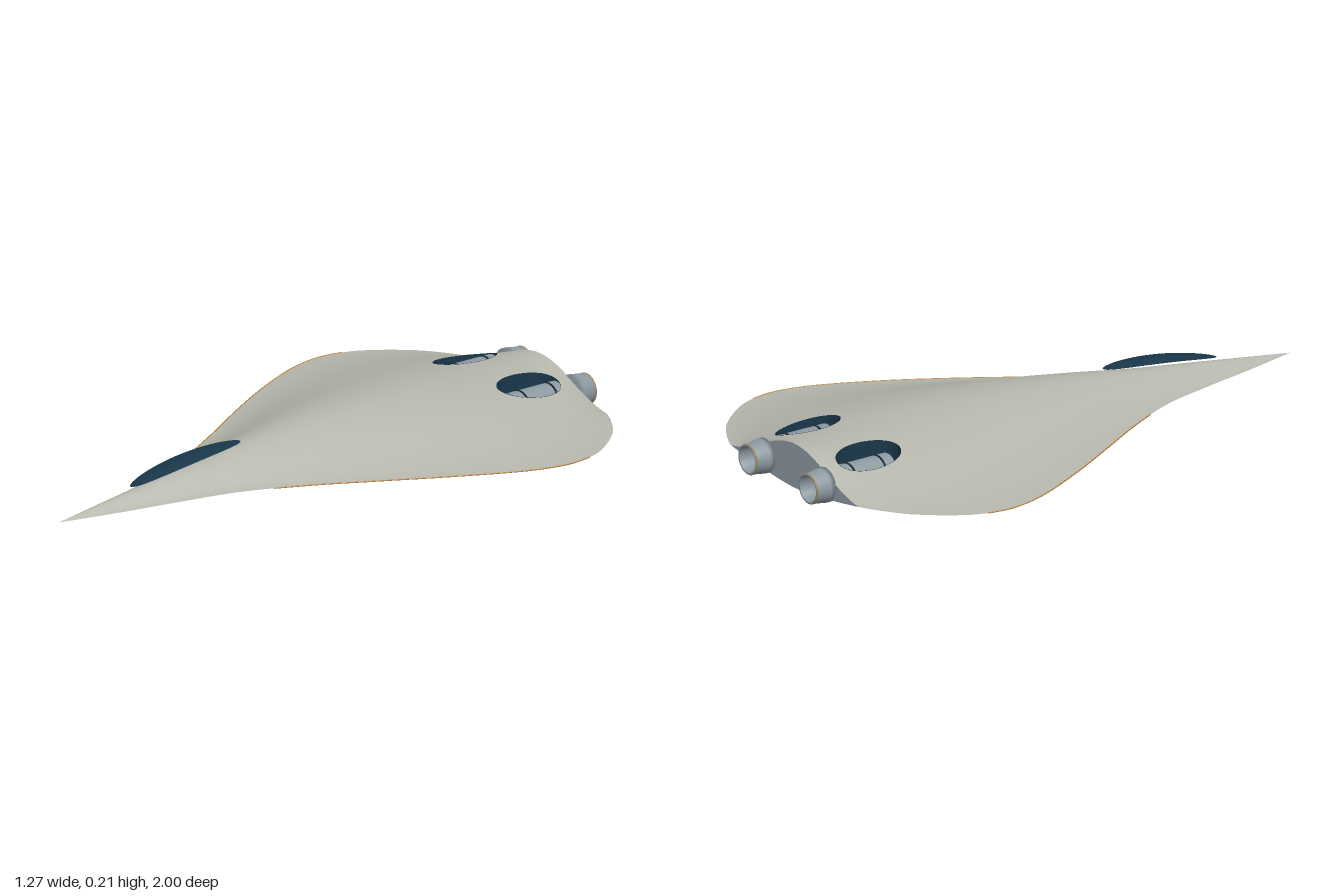
import * as THREE from 'three';

const mat = (name, color, side = THREE.FrontSide) => {
  const m = new THREE.MeshStandardMaterial({ color, side });
  m.name = name;
  return m;
};

// Hull stations: z, half width, edge height, crest height, keel height
const STATIONS = [
  [-0.935, 0.34, 0.092, 0.2, 0.052], [-0.91, 0.39, 0.092, 0.196, 0.048],
  [-0.84, 0.49, 0.092, 0.191, 0.042], [-0.7, 0.6, 0.092, 0.193, 0.033],
  [-0.6, 0.631, 0.092, 0.198, 0.029], [-0.52, 0.631, 0.092, 0.203, 0.026],
  [-0.4, 0.597, 0.092, 0.208, 0.023], [-0.2, 0.5, 0.092, 0.207, 0.023],
  [0, 0.385, 0.09, 0.195, 0.027], [0.2, 0.265, 0.086, 0.174, 0.035],
  [0.4, 0.163, 0.08, 0.146, 0.044], [0.6, 0.1, 0.073, 0.121, 0.053],
  [0.8, 0.051, 0.069, 0.094, 0.06], [1, 0, 0.067, 0.067, 0.067],
];
const Z0 = -0.935, Z1 = 1;

// Smooth interpolation of one station column
function sample(z, col) {
  const n = STATIONS.length;
  let i = 0;
  while (i < n - 2 && z > STATIONS[i + 1][0]) i++;
  const slope = (k) => {
    const a = STATIONS[Math.max(k - 1, 0)], b = STATIONS[Math.min(k + 1, n - 1)];
    return (b[col] - a[col]) / (b[0] - a[0]);
  };
  const a = STATIONS[i], b = STATIONS[i + 1], h = b[0] - a[0];
  const t = (z - a[0]) / h, t2 = t * t, t3 = t2 * t;
  return (2 * t3 - 3 * t2 + 1) * a[col] + (t3 - 2 * t2 + t) * h * slope(i)
    + (3 * t2 - 2 * t3) * b[col] + (t3 - t2) * h * slope(i + 1);
}

function hullY(x, z, upper) {
  const w = sample(z, 1), e = sample(z, 2);
  const t = w > 1e-4 ? Math.min(Math.abs(x) / w, 1) : 1;
  if (upper) {
    const f = 0.85 * (1 + Math.cos(Math.PI * t)) / 2 + 0.15 * (1 - t * t);
    return e + (sample(z, 3) - e) * f;
  }
  return e + (sample(z, 4) - e) * (1 - t ** 1.5);
}

// Oval engine wells in the upper skin
const WELL = { x: 0.16, z: -0.765, rx: 0.077, rz: 0.115, floor: 0.08 };
const wellR = (x, z) => Math.hypot((Math.abs(x) - WELL.x) / WELL.rx, (z - WELL.z) / WELL.rz);

// Upper or lower skin as a grid; cells inside the wells are left out
function skin(upper) {
  const nu = 100, nv = 130, pts = [], index = [];
  for (let j = 0; j <= nv; j++) for (let i = 0; i <= nu; i++) {
    const z = Z0 + (Z1 - Z0) * j / nv;
    pts.push([(2 * i / nu - 1) * Math.max(sample(z, 1), 0), z]);
  }
  const inside = pts.map(([x, z]) => upper && wellR(x, z) < 1);
  const tri = (a, b, c) => {
    if (inside[a] && inside[b] && inside[c]) return;
    index.push(...(upper ? [a, b, c] : [a, c, b]));
  };
  for (let j = 0; j < nv; j++) for (let i = 0; i < nu; i++) {
    const a = j * (nu + 1) + i, b = a + nu + 1;
    tri(a, b, a + 1);
    tri(a + 1, b, b + 1);
  }
  const pos = [];
  pts.forEach(([x, z], k) => {
    if (inside[k]) { // pull rim vertices onto the oval
      const s = Math.sign(x), r = Math.max(wellR(x, z), 1e-3);
      x = s * (WELL.x + (Math.abs(x) - WELL.x) / r);
      z = WELL.z + (z - WELL.z) / r;
    }
    pos.push(x, hullY(x, z, upper), z);
  });
  return surface(pos, index);
}

function surface(pos, index) {
  const g = new THREE.BufferGeometry();
  g.setAttribute('position', new THREE.Float32BufferAttribute(pos, 3));
  g.setIndex(index);
  g.computeVertexNormals();
  return g;
}

// Surface through rings of points, ring(k, angle) -> [x, y, z]
function rings(count, sides, ring) {
  const pos = [], index = [];
  for (let k = 0; k < count; k++) for (let i = 0; i <= sides; i++) pos.push(...ring(k, i / sides * Math.PI * 2));
  for (let k = 0; k < count - 1; k++) for (let i = 0; i < sides; i++) {
    const a = k * (sides + 1) + i, b = a + sides + 1;
    index.push(a, a + 1, b, a + 1, b + 1, b);
  }
  return surface(pos, index);
}

export function createModel() {
  const model = new THREE.Group();
  const upperMat = mat('pale grey hull', 0xb5b6ac, THREE.DoubleSide);
  const lowerMat = mat('slate belly', 0x929da2, THREE.DoubleSide);
  const blue = mat('deep blue glass', 0x19374a, THREE.DoubleSide);
  const panel = mat('tail panel grey', 0x94a1aa, THREE.DoubleSide);
  const steel = mat('engine steel', 0x8b989f, THREE.DoubleSide);
  const dark = mat('dark band', 0x15232c);
  const pale = mat('pale lens', 0xc8d2d6);
  const amber = mat('amber trim', 0xbc8030);
  const add = (name, geo, material, parent = model) => {
    const m = new THREE.Mesh(geo, material);
    m.name = name;
    parent.add(m);
    return m;
  };

  add('upperHull', skin(true), upperMat);
  add('lowerHull', skin(false), lowerMat);

  // Flat tail panel following the last hull section
  const outline = [], w = sample(Z0, 1);
  for (let i = 0; i <= 40; i++) outline.push(new THREE.Vector2(w * (i / 20 - 1), hullY(w * (i / 20 - 1), Z0, false)));
  for (let i = 39; i > 0; i--) outline.push(new THREE.Vector2(w * (i / 20 - 1), hullY(w * (i / 20 - 1), Z0, true)));
  add('tailPanel', new THREE.ShapeGeometry(new THREE.Shape(outline)), panel).position.z = Z0;

  // Canopy: a thin curved oval raised above the nose
  add('canopy', rings(9, 40, (k, a) => {
    const r = k / 8, x = 0.045 * r * Math.sin(a), c = r * Math.cos(a);
    const y = 0.163 - 0.028 * c - 0.014 * c * c + 0.008 * (1 - r * r);
    return [x, y, 0.49 + 0.22 * c];
  }), blue);

  for (const side of [-1, 1]) {
    // Fine trim line along the wing edge
    const edge = [];
    for (let i = 0; i <= 30; i++) {
      const z = -0.64 + 0.94 * i / 30;
      edge.push(new THREE.Vector3(side * sample(z, 1), sample(z, 2), z));
    }
    add('edgeTrim', new THREE.TubeGeometry(new THREE.CatmullRomCurve3(edge), 60, 0.002, 6), amber);

    const engine = new THREE.Group();
    engine.name = side > 0 ? 'leftEngine' : 'rightEngine';
    model.add(engine);

    // Well wall and floor
    add('engineWell', rings(5, 48, (k, a) => {
      const r = k < 3 ? 1 : [0.97, 0][k - 3];
      const x = side * WELL.x + WELL.rx * r * Math.sin(a), z = WELL.z + WELL.rz * r * Math.cos(a);
      const top = hullY(x, z, true) + 0.001;
      return [x, k < 3 ? top + (WELL.floor - top) * k / 2 : WELL.floor, z];
    }), blue, engine);

    // Engine body with two dark bands
    const tube = (name, r, z, len, m) => {
      const g = new THREE.CylinderGeometry(r, r, len, 32).rotateX(Math.PI / 2);
      add(name, g, m, engine).position.set(side * WELL.x, 0.112, z);
    };
    tube('engineBody', 0.05, -0.784, 0.188, steel);
    for (const z of [-0.845, -0.73]) tube('engineBand', 0.0515, z, 0.007, dark);

    // Hollow exhaust nozzle with a fine lip ring
    const profile = [[0, 0.932], [0.057, 0.932], [0.056, 0.95], [0.051, 0.98], [0.05, 1], [0.042, 1], [0.037, 0.95], [0, 0.945]];
    const nozzle = new THREE.LatheGeometry(profile.map((p) => new THREE.Vector2(...p)), 32).rotateX(-Math.PI / 2);
    add('exhaustNozzle', nozzle, steel, engine).position.set(side * WELL.x, 0.112, 0);
    add('nozzleLip', new THREE.TorusGeometry(0.049, 0.002, 6, 32), amber, engine).position.set(side * WELL.x, 0.112, -0.998);
  }

  // Belly sensor: collar, flange, dark ring and pale lens
  const disc = (name, r1, r2, y, h, m) =>
    add(name, new THREE.CylinderGeometry(r1, r2, h, 48), m).position.set(0, y, -0.285);
  disc('sensorCollar', 0.088, 0.082, 0.023, 0.018, blue);
  disc('sensorFlange', 0.095, 0.09, 0.011, 0.014, steel);
  disc('sensorRing', 0.083, 0.083, 0.004, 0.004, blue);
  disc('sensorLens', 0.064, 0.062, 0.003, 0.006, pale);
  return model;
}
